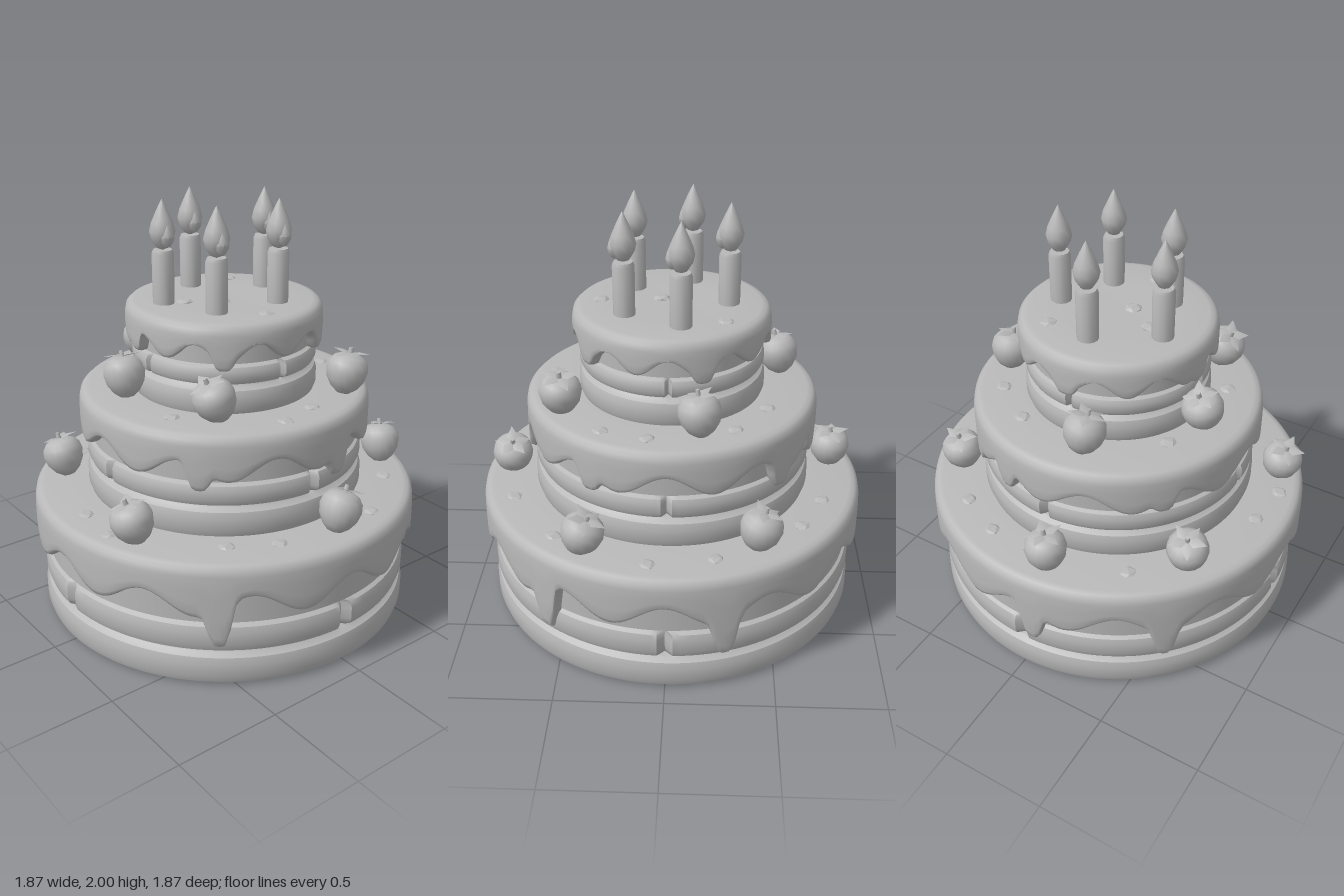
import * as THREE from 'three';
import { mergeVertices, toCreasedNormals } from 'three/addons/utils/BufferGeometryUtils.js';

const DEG = Math.PI / 180;
const V2 = (x, y) => new THREE.Vector2(x, y);
const grey = new THREE.MeshStandardMaterial({ color: 0xb8b8b8 });
grey.name = 'plain grey';

// angular distance in degrees
const apart = (a, b) => Math.abs(((a - b + 540) % 360 + 360) % 360 - 180);

function mesh(name, geometry) {
  const m = new THREE.Mesh(geometry, grey);
  m.name = name;
  return m;
}

// lathe whose vertices are moved by rule(vertex, angle in degrees from the front)
function lathe(points, segments, rule, crease = 0.7) {
  let g = new THREE.LatheGeometry(points.map(p => V2(...p)), segments);
  if (rule) {
    const p = g.attributes.position;
    const v = new THREE.Vector3();
    for (let i = 0; i < p.count; i++) {
      v.fromBufferAttribute(p, i);
      rule(v, Math.atan2(v.x, v.z) / DEG);
      p.setXYZ(i, v.x, v.y, v.z);
    }
  }
  g.deleteAttribute('uv');
  g.deleteAttribute('normal');
  g = mergeVertices(g, 1e-5);
  return toCreasedNormals(g, crease);
}

// one rounded sponge layer as profile points
function layer(r, y0, y1) {
  const h = y1 - y0;
  return [[r - 0.035, y0], [r - 0.01, y0 + h * 0.1], [r, y0 + h * 0.3],
    [r, y0 + h * 0.7], [r - 0.01, y0 + h * 0.9], [r - 0.035, y1]];
}

// stacked sponge; the second layer is notched at four joints
function sponge(t) {
  const [a, b, c, d] = t.layers;
  const points = [[0, a], ...layer(t.r, a, b - 0.004), ...layer(t.r - 0.005, b + 0.004, c),
    [t.r - 0.025, c + 0.005], [t.r - 0.025, d], [0, d]];
  return mesh('sponge', lathe(points, 160, (v, angle) => {
    if (v.y < b || v.y > c) return;
    const near = Math.min(...[0, 90, 180, 270].map(j => apart(angle, j)));
    const k = 1 - (0.035 / t.r) * Math.exp(-((near / 1.2) ** 2));
    v.x *= k;
    v.z *= k;
  }));
}

// icing cap with a wavy lower edge and long drips
function icing(t) {
  const R = t.icingR, top = t.top, shoulder = top - 0.05;
  const points = [[t.r - 0.03, 0.02], [R - 0.025, 0], [R - 0.006, 0.05], [R, 0.15], [R, 0.4], [R, 0.7], [R - 0.002, 1]]
    .map(([x, f]) => [x, t.edge + (shoulder - t.edge) * f]);
  points.push([R - 0.008, top - 0.022], [R - 0.025, top - 0.006], [R - 0.05, top], [R * 0.5, top - 0.004], [0, top - 0.004]);
  return mesh('icing', lathe(points, 240, (v, angle) => {
    if (v.y >= shoulder) return;
    let edge = t.edge + t.wave * Math.cos(angle * DEG * t.waves);
    for (const [at, low] of t.drips) {
      const w = Math.exp(-((apart(angle, at) / t.dripWidth) ** 4));
      edge += (low - edge) * w;
    }
    const f = (v.y - t.edge) / (shoulder - t.edge);
    v.y = edge + (shoulder - edge) * f;
  }, 0.9));
}

// bent, pointed leaf lying outward along +z
function leafGeometry() {
  const g = new THREE.BufferGeometry();
  g.setAttribute('position', new THREE.Float32BufferAttribute([
    0, 0, 0, -0.028, 0.005, 0.035, 0.028, 0.005, 0.035, 0, 0.014, 0.04, 0, 0.012, 0.092], 3));
  g.setIndex([0, 1, 3, 0, 3, 2, 1, 4, 3, 3, 4, 2]);
  g.computeVertexNormals();
  return g;
}
const leafMaterial = grey;

function strawberry(x, y, z, tiltX, tiltZ) {
  const group = new THREE.Group();
  group.name = 'strawberry';
  group.add(mesh('berry', lathe([[0, -0.105], [0.03, -0.1], [0.062, -0.075], [0.088, -0.035], [0.098, 0.01],
    [0.092, 0.045], [0.07, 0.072], [0.04, 0.085], [0, 0.085]], 18)));
  const leaf = leafGeometry();
  for (let i = 0; i < 5; i++) {
    const m = mesh('leaf', leaf);
    m.position.y = 0.087;
    m.rotation.set(i % 2 ? 0.3 : 0.05, i * 72 * DEG + x * 5, 0, 'YXZ');
    group.add(m);
  }
  const stem = mesh('stem', new THREE.CylinderGeometry(0.01, 0.014, 0.03, 6));
  stem.position.y = 0.1;
  group.add(stem);
  group.position.set(x, y, z);
  group.rotation.set(tiltX, 0, tiltZ);
  return group;
}

function candle(x, z) {
  const group = new THREE.Group();
  group.name = 'candle';
  group.add(mesh('wax', lathe([[0, 1.5], [0.05, 1.5], [0.051, 1.755], [0.044, 1.772], [0, 1.772]], 12)));
  const flameShape = [[0, 0], [0.028, 0.012], [0.052, 0.05], [0.06, 0.085], [0.05, 0.125], [0.028, 0.175], [0.01, 0.212], [0, 0.23]];
  const flame = mesh('flame', lathe(flameShape, 12));
  flame.position.y = 1.77;
  const inner = mesh('innerFlame', lathe(flameShape, 10));
  inner.position.set(0.036, 1.785, 0);
  inner.scale.set(0.55, 0.6, 0.6);
  group.add(flame, inner);
  group.position.set(x, 0, z);
  return group;
}

export function createModel() {
  grey.side = THREE.DoubleSide;
  const cake = new THREE.Group();
  cake.name = 'tieredCake';

  const tiers = [
    { name: 'bottomTier', r: 0.905, icingR: 0.935, layers: [0, 0.16, 0.31, 0.58], top: 0.618, edge: 0.415, wave: 0.055, waves: 12,
      dripWidth: 3.6, drips: [[51, 0.21], [144, 0.21], [197, 0.19], [275, 0.24], [314, 0.2]] },
    { name: 'middleTier', r: 0.67, icingR: 0.697, layers: [0.6, 0.75, 0.868, 1.07], top: 1.108, edge: 0.935, wave: 0.05, waves: 10,
      dripWidth: 4.6, drips: [[43, 0.84], [101, 0.82], [150, 0.86], [228, 0.82], [253, 0.86], [318, 0.88]] },
    { name: 'topTier', r: 0.44, icingR: 0.465, layers: [1.09, 1.23, 1.33, 1.48], top: 1.525, edge: 1.39, wave: 0.04, waves: 10,
      dripWidth: 6, drips: [[52, 1.31], [125, 1.32], [200, 1.31], [270, 1.33], [-8, 1.335]] },
  ];
  for (const t of tiers) {
    const tier = new THREE.Group();
    tier.name = t.name;
    tier.add(sponge(t), icing(t));
    cake.add(tier);
  }

  // strawberries: x, z, tilts
  const lower = [[-0.42, -0.66, 0, 0.2], [0.37, -0.72, -0.2, 0.3], [0.79, -0.04, -0.45, 0.1],
    [0.32, 0.75, 0.25, 0.15], [-0.47, 0.64, 0.1, 0.3], [-0.79, 0.09, -0.1, 0]];
  const upper = [[-0.14, -0.52, 0.1, -0.1], [0.49, -0.34, -0.2, 0], [0.40, 0.36, 0.4, 0.1],
    [-0.10, 0.50, -0.1, 0.35], [-0.51, 0.13, 0.1, -0.2]];
  for (const [x, z, a, b] of lower) cake.add(strawberry(x, 0.718, z, a, b));
  for (const [x, z, a, b] of upper) cake.add(strawberry(x, 1.215, z, a, b));

  // crumbs half sunk into the icing tops
  const crumb = new THREE.IcosahedronGeometry(0.045, 0);
  const crumbs = [
    [0.612, [[-0.22, -0.75], [0.52, -0.6], [-0.73, -0.26], [-0.64, 0.43], [0.6, 0.45], [0.72, 0.25], [-0.03, 0.78],
      [0.2, 0.8], [0.75, -0.28], [-0.62, -0.48], [0.08, -0.8]]],
    [1.102, [[0.09, -0.55], [0.3, -0.49], [-0.45, -0.25], [0.52, -0.1], [0.57, 0.1], [0.23, 0.47], [-0.27, 0.42], [-0.3, -0.46]]],
    [1.519, [[0.05, 0.05], [-0.05, 0.19], [0.33, 0.02], [-0.25, -0.22]]],
  ];
  for (const [y, spots] of crumbs) {
    spots.forEach(([x, z], i) => {
      const m = mesh('crumb', crumb);
      m.position.set(x, y, z);
      m.scale.y = 0.35;
      m.rotation.y = i * 1.3;
      cake.add(m);
    });
  }

  // candles
  for (const [x, z] of [[-0.05, -0.28], [0.21, -0.15], [0.18, 0.18], [-0.09, 0.28], [-0.265, 0]]) cake.add(candle(x, z));
  return cake;
}
